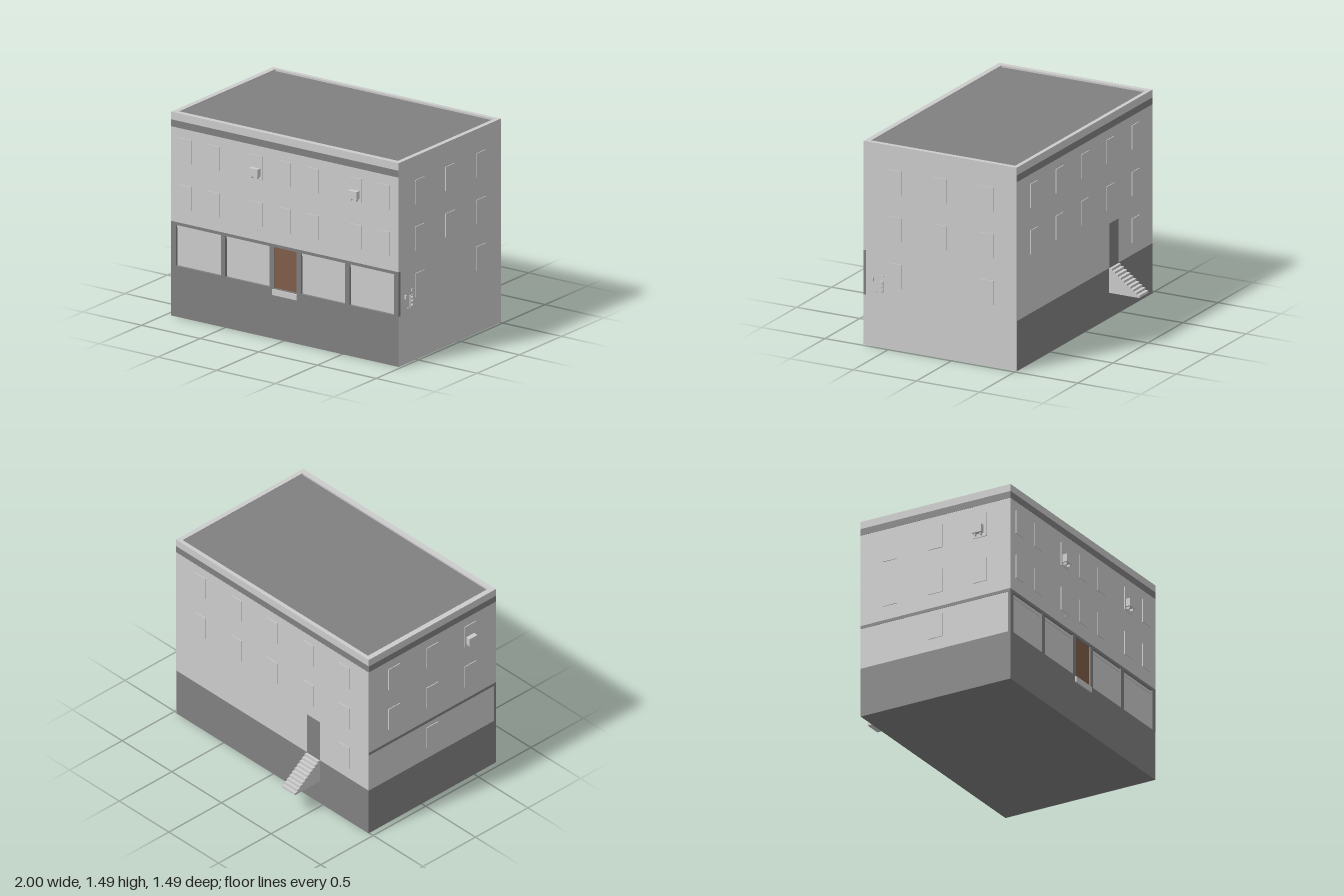
import * as THREE from 'three';

const light = new THREE.MeshStandardMaterial({ color: 0xcccccc });
const dark = new THREE.MeshStandardMaterial({ color: 0x808080 });
const brown = new THREE.MeshStandardMaterial({ color: 0x805d4a });

// Outer wall planes and main heights
const L = -0.96, R = 0.98, B = -0.505, F = 0.705;
const BASE = 0.365, SHOP = 0.69, TOP = 1.485;

export function createModel() {
  const model = new THREE.Group();

  function add(name, geometry, material = light, parent = model) {
    const mesh = new THREE.Mesh(geometry, material);
    mesh.name = name;
    parent.add(mesh);
    return mesh;
  }
  // Box from min/max bounds
  function box(name, x0, x1, y0, y1, z0, z1, material = light, parent = model) {
    const mesh = add(name, new THREE.BoxGeometry(x1 - x0, y1 - y0, z1 - z0), material, parent);
    mesh.position.set((x0 + x1) / 2, (y0 + y1) / 2, (z0 + z1) / 2);
    return mesh;
  }
  function rect(target, x0, x1, y0, y1) {
    target.moveTo(x0, y0);
    target.lineTo(x1, y0);
    target.lineTo(x1, y1);
    target.lineTo(x0, y1);
    target.closePath();
    return target;
  }

  // Stacked wall volumes
  box('basement', L, R - 0.004, 0, BASE, B, F, dark);
  box('basementSideWall', R - 0.004, R, 0, BASE, B, F);
  box('groundFloor', L, R, BASE, SHOP, B, F - 0.02);
  box('upperFloors', L, R, SHOP, TOP - 0.015, B, F);

  // Parapet ring around a sunken roof
  const rim = rect(new THREE.Shape(), L, R, -F, -B);
  rim.holes.push(rect(new THREE.Path(), -0.92, 0.945, -0.665, 0.475));
  const parapet = add('parapet', new THREE.ExtrudeGeometry(rim, { depth: 0.015, bevelEnabled: false }));
  parapet.rotation.x = -Math.PI / 2;
  parapet.position.y = TOP - 0.015;
  box('roof', -0.92, 0.945, TOP - 0.02, TOP - 0.014, -0.475, 0.665, dark);

  // Storefront frame with openings for shop windows and the door
  const front = rect(new THREE.Shape(), L, R, BASE, SHOP);
  const shops = [[-0.92, -0.535], [-0.5, -0.12], [0.145, 0.52], [0.56, 0.94]];
  for (const [a, b] of [...shops, [-0.085, 0.11]]) {
    front.holes.push(rect(new THREE.Path(), a, b, BASE + 0.004, 0.668));
  }
  add('storefrontFrame', new THREE.ExtrudeGeometry(front, { depth: 0.02, bevelEnabled: false }), dark)
    .position.z = F - 0.02;
  for (const [a, b] of shops) box('shopWindowHeader', a, b, 0.645, 0.668, F - 0.02, F - 0.014);
  box('frontDoor', -0.085, 0.11, BASE, 0.668, F - 0.02, F - 0.01, brown);
  box('frontStep', -0.095, 0.115, 0.32, 0.362, F, 0.715);

  // Painted bands on the front, back and right walls
  const e = 0.002;
  box('corniceBandFront', L, R, 1.38, 1.43, F, F + e, dark);
  box('corniceBandBack', L, R, 1.38, 1.43, B - e, B, dark);
  box('corniceBandSide', L - e, L, 1.38, 1.43, B, F, dark);
  box('shopBandSide', L - e, L, 0.667, SHOP, B, F, dark);

  // Windows: thin slabs standing slightly proud of each wall
  const t = 0.006, rows = [0.455, 0.795, 1.135], H = 0.175;
  const windowZ = (x, y, z0) =>
    box('window', x - 0.0525, x + 0.0525, y, y + H, z0, z0 + t);
  const windowX = (z, y, x0) =>
    box('window', x0, x0 + t, y, y + H, z - 0.055, z + 0.055);
  for (const y of rows.slice(1)) {
    for (const x of [-0.84, -0.595, -0.235, 0.01, 0.25, 0.615, 0.855]) windowZ(x, y, F);
    for (const x of [-0.715, -0.355, 0.01, 0.37, 0.735]) windowZ(x, y, B - t);
    for (const z of [0.46, 0.1, -0.265]) {
      windowX(z, y, R);
      windowX(z, y, L - t);
    }
  }
  windowZ(-0.715, rows[0], B - t);
  windowX(0.46, rows[0], R);
  windowX(-0.265, rows[0], R);
  windowX(0.1, rows[0], L - t);

  // Window air conditioners on two small brackets
  function airConditioner(x, z, turn) {
    const unit = new THREE.Group();
    unit.name = 'airConditioner';
    box('housing', -0.0375, 0.0375, 1.162, 1.22, 0, 0.04, light, unit);
    for (const s of [-0.022, 0.022]) {
      box('bracket', s - 0.003, s + 0.003, 1.145, 1.162, 0, 0.03, light, unit);
    }
    unit.position.set(x, 0, z);
    unit.rotation.y = turn;
    model.add(unit);
  }
  airConditioner(-0.233, F, 0);
  airConditioner(0.612, F, 0);
  airConditioner(L, 0.455, -Math.PI / 2);

  // Back door and its solid stair with a flat underside
  box('backDoor', -0.47, -0.34, BASE, SHOP, B - 0.003, B, dark);
  const N = 10, run = 0.24 / N, rise = (BASE - 0.185) / N;
  const steps = new THREE.Shape();
  steps.moveTo(0, 0.185);
  steps.lineTo(0.24, 0.185);
  for (let i = 1; i <= N; i++) {
    steps.lineTo(0.24 - (i - 1) * run, 0.185 + i * rise);
    steps.lineTo(0.24 - i * run, 0.185 + i * rise);
  }
  const stair = add('backStair', new THREE.ExtrudeGeometry(steps, { depth: 0.13, bevelEnabled: false }));
  stair.rotation.y = Math.PI / 2;
  stair.position.set(-0.47, 0, B);

  // Utility meters and pipes on the left wall
  box('meterBoard', R, R + 0.008, 0.4, 0.488, 0.545, 0.575);
  for (const y of [0.415, 0.445, 0.472]) {
    const meter = add('meter', new THREE.CylinderGeometry(0.01, 0.01, 0.012, 12));
    meter.rotation.z = Math.PI / 2;
    meter.position.set(R + 0.014, y, 0.56);
  }
  box('utilityBox', R, R + 0.014, 0.475, 0.505, 0.623, 0.638);
  box('smallUtilityBox', R, R + 0.01, 0.515, 0.53, 0.548, 0.562);
  box('pipeStub', R, R + 0.01, 0.395, 0.407, 0.598, 0.602);

  // Small wall lamp above the storefront
  const lamp = add('wallLamp', new THREE.CylinderGeometry(0.007, 0.007, 0.006, 12));
  lamp.rotation.x = Math.PI / 2;
  lamp.position.set(-0.23, 0.762, F + 0.003);

  return model;
}
